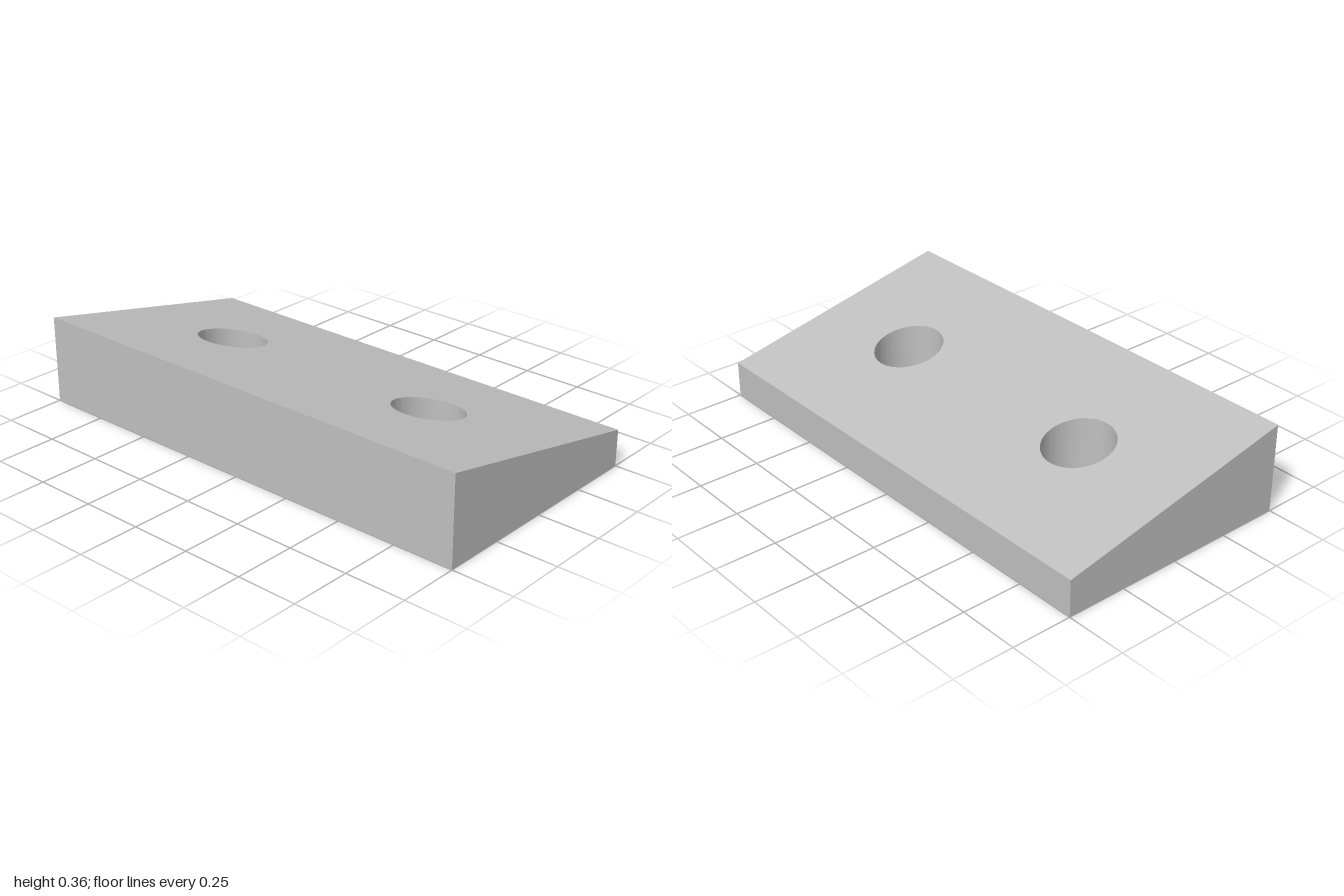
import * as THREE from 'three';
import { toCreasedNormals } from 'three/addons/utils/BufferGeometryUtils.js';

const WIDTH = 1, LENGTH = 2;
const MID_HEIGHT = 0.2563;
const SLOPE = Math.tan(THREE.MathUtils.degToRad(12));
const HOLE_RADIUS = 0.14;

export function createModel() {
  const group = new THREE.Group();
  group.name = 'wedgePlate';
  const grey = new THREE.MeshStandardMaterial({ color: 0xc0c0c0 });
  grey.name = 'grey';

  // Rectangular footprint with two round through holes
  const w = WIDTH / 2, l = LENGTH / 2;
  const footprint = new THREE.Shape([
    new THREE.Vector2(-w, -l), new THREE.Vector2(w, -l),
    new THREE.Vector2(w, l), new THREE.Vector2(-w, l),
  ]);
  for (const z of [-0.5, 0.5]) {
    footprint.holes.push(new THREE.Path().absarc(0, z, HOLE_RADIUS, 0, Math.PI * 2, true));
  }
  const body = new THREE.ExtrudeGeometry(footprint, { depth: 1, bevelEnabled: false, curveSegments: 64 });
  body.rotateX(-Math.PI / 2);

  // Tilt the top face: higher on -x, lower on +x
  const p = body.attributes.position;
  for (let i = 0; i < p.count; i++) {
    p.setY(i, p.getY(i) > 0.5 ? MID_HEIGHT - SLOPE * p.getX(i) : 0);
  }

  // Smooth hole walls, sharp edges
  const mesh = new THREE.Mesh(toCreasedNormals(body, Math.PI / 6), grey);
  mesh.name = 'wedgeBody';
  group.add(mesh);
  return group;
}
